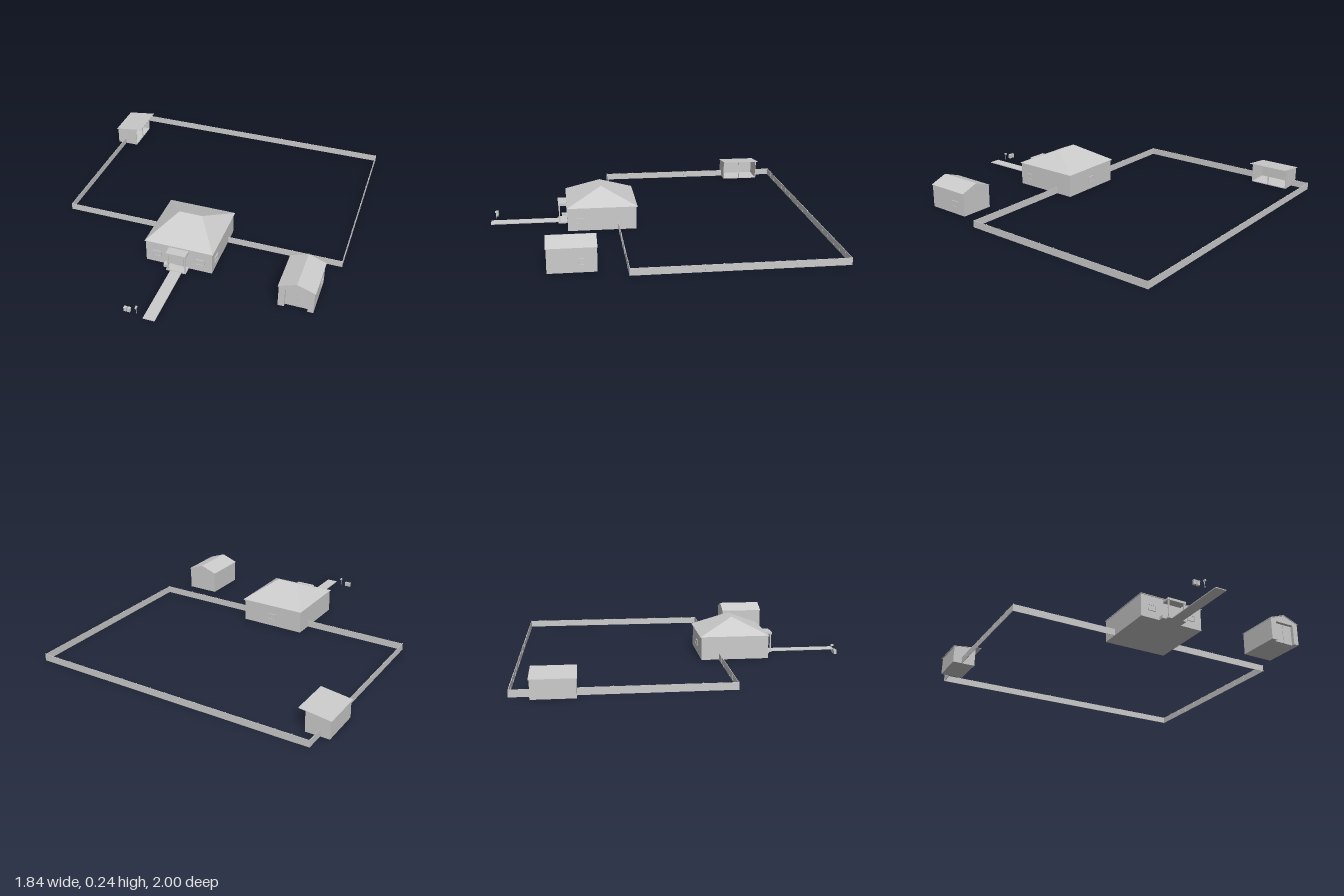
import * as THREE from 'three';
import { ConvexGeometry } from 'three/addons/geometries/ConvexGeometry.js';

const grey = new THREE.MeshStandardMaterial({ color: 0xcccccc, flatShading: true, side: THREE.DoubleSide });

export function createModel() {
  const model = new THREE.Group();

  const group = (name) => {
    const g = new THREE.Group();
    g.name = name;
    model.add(g);
    return g;
  };
  const mesh = (parent, name, geometry) => {
    const m = new THREE.Mesh(geometry, grey);
    m.name = name;
    parent.add(m);
    return m;
  };
  // Box given by its minimum and maximum on each axis
  const box = (parent, name, x0, x1, y0, y1, z0, z1) => {
    const m = mesh(parent, name, new THREE.BoxGeometry(x1 - x0, y1 - y0, z1 - z0));
    m.position.set((x0 + x1) / 2, (y0 + y1) / 2, (z0 + z1) / 2);
    return m;
  };
  const hull = (parent, name, points) =>
    mesh(parent, name, new ConvexGeometry(points.map((p) => new THREE.Vector3(...p))));
  // Profile in x and y, extruded along z from z0 to z1
  const extrude = (parent, name, outline, z0, z1) => {
    const shape = new THREE.Shape(outline.map((p) => new THREE.Vector2(...p)));
    const m = mesh(parent, name, new THREE.ExtrudeGeometry(shape, { depth: z1 - z0, bevelEnabled: false }));
    m.position.z = z0;
    return m;
  };
  // Thin framed window, facing +z before it is turned
  const addWindow = (parent, x, y, z, turn) => {
    const w = new THREE.Group();
    w.name = 'window';
    box(w, 'windowPane', -0.025, 0.025, -0.017, 0.017, -0.001, 0.002);
    for (const s of [-1, 1]) {
      box(w, 'windowFrameSide', s * 0.024 - 0.002, s * 0.024 + 0.002, -0.018, 0.018, 0, 0.005);
      box(w, 'windowFrameRail', -0.026, 0.026, s * 0.017 - 0.002, s * 0.017 + 0.002, 0, 0.005);
    }
    w.position.set(x, y, z);
    w.rotation.y = turn;
    parent.add(w);
  };

  // House with hipped roof
  const house = group('house');
  box(house, 'houseWalls', -0.205, 0.207, 0, 0.142, 0.108, 0.525);
  hull(house, 'hipRoof', [
    [-0.21, 0.14, 0.1], [0.214, 0.14, 0.1], [-0.21, 0.14, 0.53], [0.214, 0.14, 0.53],
    [-0.21, 0.144, 0.1], [0.214, 0.144, 0.1], [-0.21, 0.144, 0.53], [0.214, 0.144, 0.53],
    [-0.07, 0.24, 0.315], [0.074, 0.24, 0.315],
  ]);
  addWindow(house, -0.135, 0.065, 0.525, 0);
  addWindow(house, 0.135, 0.065, 0.525, 0);
  addWindow(house, 0.207, 0.062, 0.45, Math.PI / 2);
  addWindow(house, 0.0, 0.065, 0.108, Math.PI);

  // Porch, door and step
  const porch = group('porch');
  box(porch, 'porchFloor', -0.058, 0.064, 0, 0.008, 0.525, 0.582);
  box(porch, 'porchRoof', -0.058, 0.064, 0.115, 0.13, 0.525, 0.582);
  for (const x of [-0.05, 0.056]) box(porch, 'porchPost', x - 0.004, x + 0.004, 0, 0.118, 0.57, 0.578);
  box(porch, 'frontDoor', -0.025, 0.03, 0.006, 0.1, 0.523, 0.529);
  box(porch, 'sideStep', -0.084, -0.058, 0, 0.02, 0.525, 0.56);
  box(porch, 'path', -0.032, 0.038, 0, 0.005, 0.582, 1.0);

  // Garage with gabled roof and recessed door
  const garage = group('garage');
  extrude(garage, 'garageBody', [[0.638, 0], [0.842, 0], [0.842, 0.139], [0.74, 0.176], [0.638, 0.139]], 0.382, 0.632);
  extrude(garage, 'garageFront', [
    [0.638, 0], [0.675, 0], [0.675, 0.125], [0.808, 0.125], [0.808, 0],
    [0.842, 0], [0.842, 0.139], [0.74, 0.176], [0.638, 0.139],
  ], 0.632, 0.653);
  extrude(garage, 'garageRoof', [
    [0.633, 0.138], [0.74, 0.177], [0.847, 0.138], [0.847, 0.142], [0.74, 0.181], [0.633, 0.142],
  ], 0.38, 0.656);
  box(garage, 'doorSplit', 0.7405, 0.7435, 0, 0.124, 0.632, 0.635);
  addWindow(garage, 0.842, 0.063, 0.455, Math.PI / 2);

  // Open-sided animal shelter with sloping roof
  const shelter = group('shelter');
  box(shelter, 'shelterFloor', -0.912, -0.77, 0, 0.005, -0.885, -0.643);
  box(shelter, 'shelterBackWall', -0.912, -0.907, 0, 0.109, -0.885, -0.643);
  for (const z of [-0.885, -0.648]) {
    extrude(shelter, 'shelterEndWall', [[-0.912, 0], [-0.77, 0], [-0.77, 0.126], [-0.912, 0.108]], z, z + 0.005);
  }
  extrude(shelter, 'shelterRoof', [[-0.92, 0.107], [-0.732, 0.131], [-0.732, 0.134], [-0.92, 0.11]], -0.89, -0.64);
  box(shelter, 'shelterPost', -0.776, -0.77, 0, 0.126, -0.762, -0.756);

  // Fence runs: thin panels with regular posts
  const fence = group('fence');
  const addRun = (x0, z0, x1, z1) => {
    const length = Math.hypot(x1 - x0, z1 - z0);
    const run = new THREE.Group();
    run.name = 'fenceRun';
    box(run, 'fencePanel', 0, length, 0, 0.042, -0.0015, 0.0015);
    const count = Math.max(1, Math.round(length / 0.1));
    for (let i = 0; i <= count; i++) {
      const x = (i / count) * length;
      box(run, 'fencePost', x - 0.002, x + 0.002, 0, 0.045, -0.0025, 0.0025);
    }
    run.position.set(x0, 0, z0);
    run.rotation.y = -Math.atan2(z1 - z0, x1 - x0);
    fence.add(run);
  };
  addRun(-0.855, -0.997, 0.916, -0.997);
  addRun(0.916, -0.997, 0.916, 0.217);
  addRun(0.916, 0.217, 0.207, 0.217);
  addRun(-0.205, 0.217, -0.855, 0.217);
  addRun(-0.855, 0.217, -0.855, -0.643);
  addRun(-0.855, -0.885, -0.855, -0.997);

  // Kerbside bins and mailbox
  const kerb = group('kerbside');
  for (const x of [-0.147, -0.125]) {
    box(kerb, 'bin', x - 0.008, x + 0.008, 0, 0.023, 0.963, 0.979);
    box(kerb, 'binLid', x - 0.009, x + 0.009, 0.023, 0.027, 0.962, 0.98);
  }
  box(kerb, 'mailboxPost', -0.083, -0.08, 0, 0.038, 0.969, 0.973);
  box(kerb, 'mailbox', -0.086, -0.077, 0.037, 0.047, 0.962, 0.98);

  return model;
}
